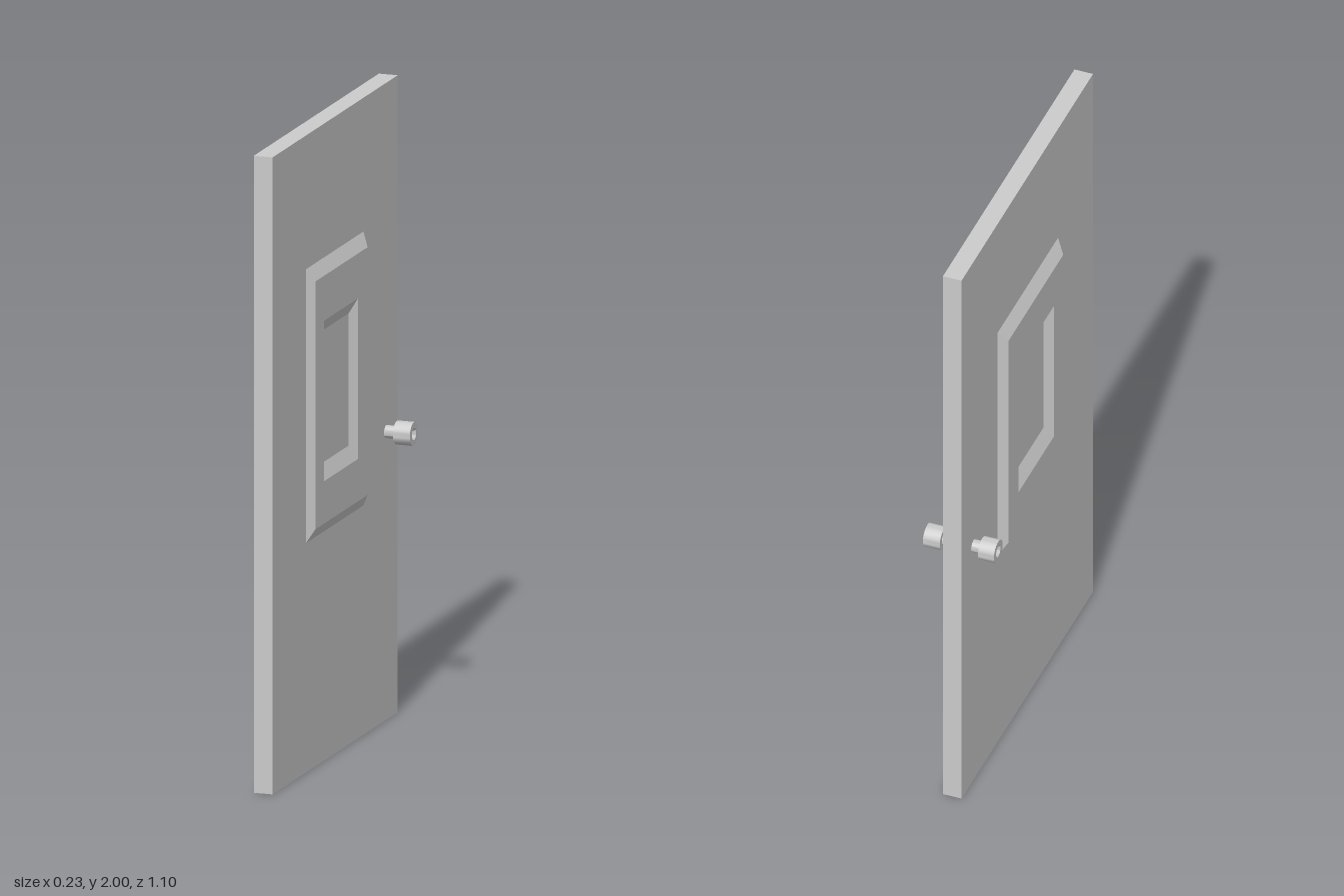
import * as THREE from 'three';
import { toCreasedNormals } from 'three/addons/utils/BufferGeometryUtils.js';

const FACE = { left: 0.026, right: -0.035 }; // x of the two door faces

// Raised panel with a sunken centre, as rectangular rings joined by quads.
// Each ring is [x, zMin, zMax, yMin, yMax]; side is +1 or -1 along x.
function panelGeometry(rings, side) {
  const pos = [];
  const corners = rings.map(([x, z0, z1, y0, y1]) =>
    [[x, y0, z1], [x, y0, z0], [x, y1, z0], [x, y1, z1]]);
  const quad = (a, b, c, d) => {
    const tris = side > 0 ? [a, b, c, a, c, d] : [a, c, b, a, d, c];
    tris.forEach((p) => pos.push(...p));
  };
  for (let i = 0; i < corners.length - 1; i++) {
    for (let k = 0; k < 4; k++) {
      const n = (k + 1) % 4;
      quad(corners[i][k], corners[i][n], corners[i + 1][n], corners[i + 1][k]);
    }
  }
  quad(...corners[corners.length - 1]);
  const geo = new THREE.BufferGeometry();
  geo.setAttribute('position', new THREE.Float32BufferAttribute(pos, 3));
  geo.computeVertexNormals();
  return geo;
}

// Stem and round knob with a dimple in its end, turned about the x axis
function knobGeometry(faceX, neckX, endX) {
  const profile = [
    [0.02, faceX], [0.02, neckX], [0.037, neckX], [0.037, endX],
    [0.019, endX], [0.011, endX - 0.012], [0, endX - 0.012],
  ].map(([r, h]) => new THREE.Vector2(r, h));
  return toCreasedNormals(new THREE.LatheGeometry(profile, 32), 0.5);
}

export function createModel() {
  const group = new THREE.Group();
  const material = new THREE.MeshStandardMaterial({ color: 0xcccccc });
  const add = (name, geometry) => {
    const mesh = new THREE.Mesh(geometry, material);
    mesh.name = name;
    group.add(mesh);
    return mesh;
  };

  // Door slab
  const thickness = FACE.left - FACE.right;
  add('doorSlab', new THREE.BoxGeometry(thickness, 2, 1.1))
    .position.set((FACE.left + FACE.right) / 2, 1, 0);

  // One raised panel and one knob on each face
  for (const [name, side, raise, neck] of [['left', 1, 0.022, 0.061], ['right', -1, 0.026, 0.064]]) {
    const x = FACE[name];
    const top = x + side * raise;
    const floor = x + side * 0.002;
    add(name + 'Panel', panelGeometry([
      [x, -0.249, 0.257, 0.72, 1.58],
      [top, -0.226, 0.234, 0.76, 1.538],
      [top, -0.14, 0.156, 0.893, 1.397],
      [floor, -0.114, 0.13, 0.94, 1.355],
    ], side));

    const knob = add(name + 'Knob', knobGeometry(Math.abs(x) - 0.005, neck, 0.116));
    knob.rotation.z = -side * Math.PI / 2;
    knob.position.set(0, 0.905, -0.45);
  }
  return group;
}
